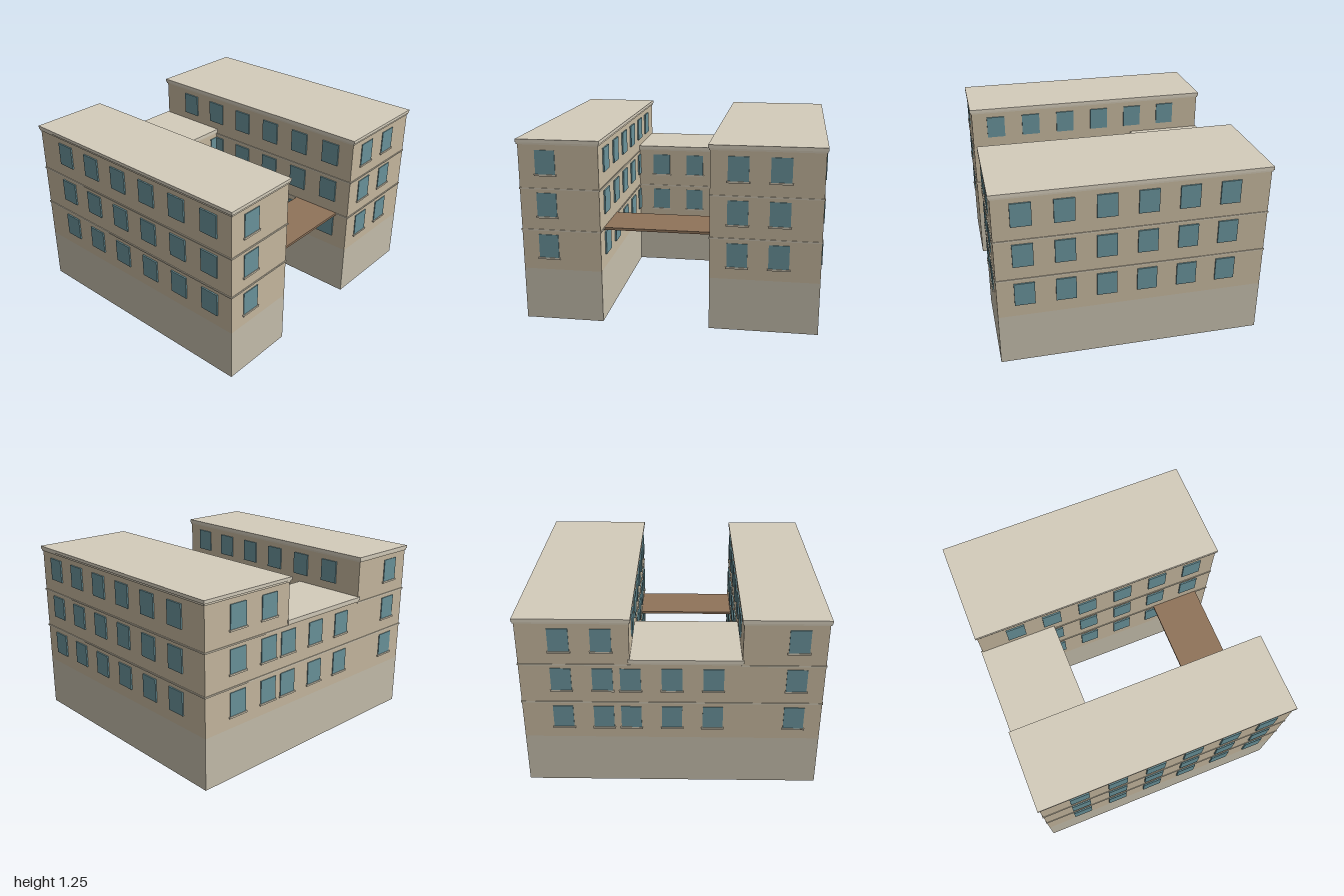
import * as THREE from 'three';

const mat = (color) => new THREE.MeshStandardMaterial({ color });
const WALL = mat(0xc6b89f), BASE = mat(0xc5beac), TRIM = mat(0xcbc2ae);
const ROOF = mat(0xd4ccbb), GLASS = mat(0x6a939b), WOOD = mat(0x8f735a);

const BASE_TOP = 0.36, FLOOR = 0.287, STEP = 0.27, INSET = 0.18;

// box given by its min and max corners
function block(parent, name, material, x0, x1, y0, y1, z0, z1) {
  const mesh = new THREE.Mesh(new THREE.BoxGeometry(x1 - x0, y1 - y0, z1 - z0), material);
  mesh.position.set((x0 + x1) / 2, (y0 + y1) / 2, (z0 + z1) / 2);
  mesh.name = name;
  parent.add(mesh);
}

// one building volume: ground floor, upper walls, bands, cornice and windows
function building(name, { x0, x1, z0, z1, floors, top, columns, sideWindows }) {
  const g = new THREE.Group();
  g.name = name;
  const slab = (label, material, y0, y1, out) =>
    block(g, label, material, x0 - out, x1 + out, y0, y1, z0 - out, z1 + out);

  slab('groundFloor', BASE, 0, BASE_TOP, 0);
  slab('upperWalls', WALL, BASE_TOP, top - 0.02, 0);
  for (let f = 1; f < floors; f++) {
    const y = BASE_TOP + f * 0.284;
    slab('floorBand', TRIM, y - 0.013, y - 0.003, 0.005);
  }
  // stepped cornice with a flat roof
  slab('corniceStep', TRIM, top - 0.035, top - 0.022, 0.006);
  slab('cornice', ROOF, top - 0.022, top, 0.011);

  for (let f = 0; f < floors; f++) {
    const y = 0.445 + f * FLOOR, h = 0.16;
    // front and back windows with sills
    for (let i = 0; i < columns; i++) {
      const x = x0 + INSET + i * STEP;
      for (const [z, s] of [[z0, -1], [z1, 1]]) {
        const span = (a, b) => s > 0 ? [z + a, z + b] : [z - b, z - a];
        block(g, 'window', GLASS, x - 0.067, x + 0.067, y, y + h, ...span(-0.01, 0.006));
        block(g, 'windowSill', TRIM, x - 0.075, x + 0.075, y - 0.012, y, ...span(-0.01, 0.011));
      }
    }
    // side windows
    if (!sideWindows) continue;
    for (let i = 0; i < 6; i++) {
      const z = z0 + STEP * (i + 1);
      for (const x of [x0, x1])
        block(g, 'sideWindow', GLASS, x - 0.01, x + 0.01, y, y + h, z - 0.067, z + 0.067);
    }
  }
  return g;
}

export function createModel() {
  const model = new THREE.Group();
  model.name = 'apartmentBlock';

  const wing = { z0: -0.9, z1: 0.9, floors: 3, top: 1.25, sideWindows: true };
  model.add(building('rightWing', { ...wing, x0: -0.989, x1: -0.453, columns: 1 }));
  model.add(building('leftWing', { ...wing, x0: 0.269, x1: 0.989, columns: 2 }));
  model.add(building('rearLink', {
    x0: -0.453, x1: 0.269, z0: -0.9, z1: -0.365, floors: 2, top: 0.962, columns: 3,
  }));

  // walkway between the wings
  block(model, 'walkway', WOOD, -0.453, 0.269, 0.625, 0.642, 0.45, 0.805);
  return model;
}
